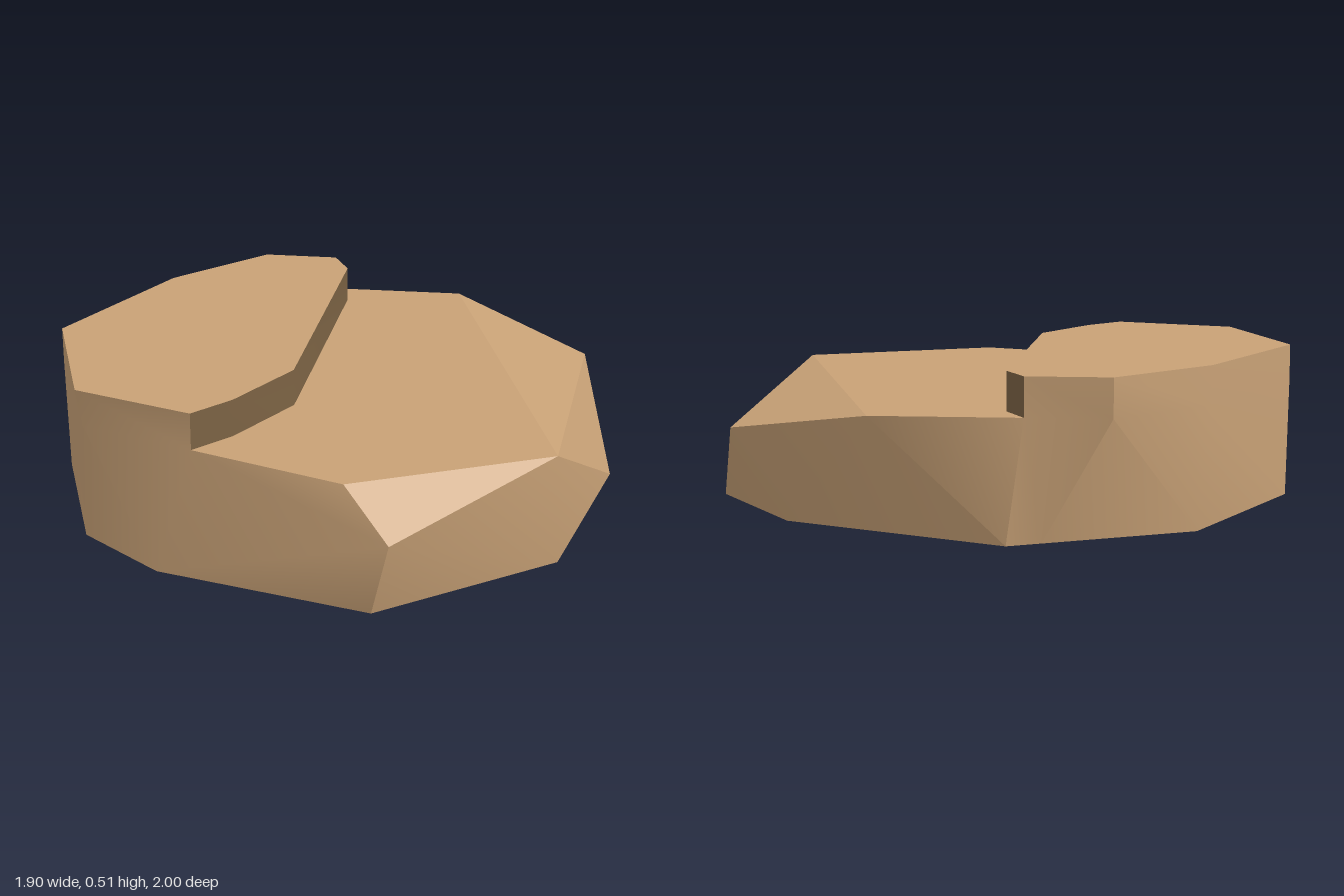
import * as THREE from 'three';
import { toCreasedNormals } from 'three/addons/utils/BufferGeometryUtils.js';

const LOW = 0.39, HIGH = 0.515;

// Corners as [x, y, z], counter-clockwise seen from above
const base = [
  [-0.94, 0, 0.21], [-0.75, 0, 0.52], [-0.15, 0, 0.945], [0.515, 0, 0.75], [0.912, 0, 0.15],
  [0.785, 0, -0.35], [0.215, 0, -0.9], [0.1, 0, -0.891], [-0.42, 0, -0.85], [-0.93, 0, -0.365],
];
const leftEdge = [-0.93, 0.38, 0.18], ledgeFront = [-0.62, LOW, 0.475];
const nose = [-0.11, 0.25, 1], noseTop = [-0.21, LOW, 0.83];
const frontCorner = [0.49, LOW, 0.78], sideCorner = [0.948, 0.295, -0.26];
const backCorner = [0.605, LOW, -0.74], ledgeBack = [0.16, LOW, -0.905], back = [-0.09, LOW, -1];
const backRight = [-0.48, LOW, -0.81], rightCorner = [-0.935, LOW, -0.37];
const rim = [leftEdge, ledgeFront, nose, frontCorner, sideCorner, backCorner, ledgeBack, back, backRight, rightCorner];
const step = [ledgeFront, [-0.47, LOW, 0.395], [-0.23, LOW, 0.19], [0.175, LOW, -0.77], ledgeBack];

// Triangles of an open band; quads listed in flipped use the other diagonal
function band(lower, upper, flipped = []) {
  return lower.slice(1).flatMap((b, i) => {
    const a = lower[i], c = upper[i + 1], d = upper[i];
    return flipped.includes(i) ? [a, b, c, a, c, d] : [a, b, d, b, c, d];
  });
}

// Triangles filling a level outline, facing up
function fill(outline) {
  const flat = outline.map(([x, , z]) => new THREE.Vector2(x, -z));
  return THREE.ShapeUtils.triangulateShape(flat, []).flat().map((i) => outline[i]);
}

// Ledge corner lifted to the upper level; the left edge also leans out
const raise = (p) => (p === leftEdge ? [-0.95, HIGH, 0.2] : [p[0], HIGH, p[2]]);

export function createModel() {
  const stone = new THREE.MeshStandardMaterial({ color: 0xc8a176, side: THREE.DoubleSide });
  stone.name = 'tanStone';
  const darkStone = new THREE.MeshStandardMaterial({ color: 0x7c6344, side: THREE.DoubleSide });
  darkStone.name = 'darkStone';
  const group = new THREE.Group();
  group.name = 'rockSlab';

  const add = (name, corners, crease, material = stone) => {
    const geometry = new THREE.BufferGeometry();
    geometry.setAttribute('position', new THREE.Float32BufferAttribute(corners.flat(), 3));
    const mesh = new THREE.Mesh(toCreasedNormals(geometry, crease), material);
    mesh.name = name;
    group.add(mesh);
  };

  // Rough outer sides, open underneath, running on up the outside of the ledge
  const outerLedge = [ledgeBack, back, backRight, rightCorner, leftEdge, ledgeFront];
  add('sides', [
    ...band(base.slice(0, 4), rim.slice(0, 4), [1]),
    base[3], base[4], frontCorner,
    ...band([...base.slice(4), base[0]], [...rim.slice(4), rim[0]]),
    ledgeFront, nose, noseTop,
    ...band(outerLedge, outerLedge.map(raise)),
  ], 0.75);

  // Chipped facets at the front and on the left
  add('frontChip', [nose, frontCorner, noseTop], 0.1);
  add('sideChip', [base[4], sideCorner, frontCorner], 0.1);

  // Lower level with its sloping left shoulder
  add('lowerTop', [
    ...fill([noseTop, frontCorner, backCorner, ledgeBack, ...step.slice(1, 4).reverse(), ledgeFront]),
    backCorner, frontCorner, sideCorner,
  ], 0.1);

  // Raised ledge: dark step face and level top
  add('stepFace', band(step, step.map(raise)), 0.75, darkStone);
  add('ledgeTop', fill([...step, ...outerLedge.slice(1, 5)].map(raise)), 0.1);

  return group;
}
